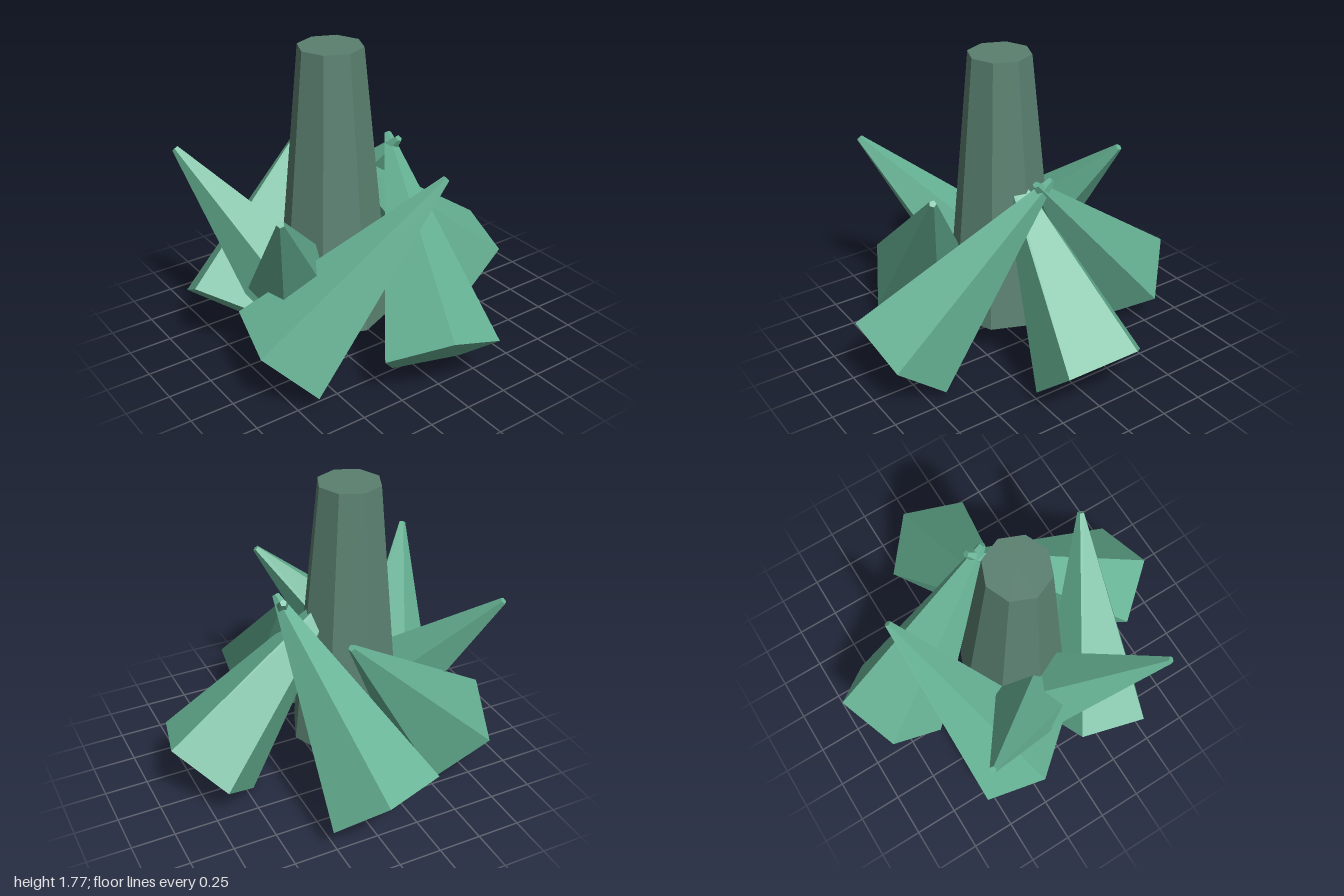
import * as THREE from 'three';

// Low-poly trunk surrounded by a ring of seven tilted five-sided cones.
export function createModel() {
  const model = new THREE.Group();
  model.name = 'tree';

  const barkMaterial = new THREE.MeshStandardMaterial({ color: 0x5a8070, flatShading: true });
  const leafMaterial = new THREE.MeshStandardMaterial({ color: 0x66b294, flatShading: true });
  const centreX = -0.19, centreZ = 0.015;

  // Tapered octagonal trunk
  const trunk = new THREE.Mesh(new THREE.CylinderGeometry(0.178, 0.33, 1.57, 8), barkMaterial);
  trunk.name = 'trunk';
  trunk.position.set(centreX, 0.993, centreZ);
  model.add(trunk);

  // Cones: evenly spaced in a ring, each turned to its own heading and tilted
  const count = 7, ringRadius = 0.457;
  const headings = [0, 107.8, 203, 305.6, -305.6, -203, -107.8];
  const coneGeometry = new THREE.CylinderGeometry(0.02, 0.335, 1.275, 5);

  const foliage = new THREE.Group();
  foliage.name = 'foliage';
  headings.forEach((heading, i) => {
    const angle = (i / count) * Math.PI * 2;
    const cone = new THREE.Mesh(coneGeometry, leafMaterial);
    cone.name = `foliageCone${i + 1}`;
    cone.position.set(
      centreX + Math.cos(angle) * ringRadius,
      0.702,
      centreZ + Math.sin(angle) * ringRadius
    );
    cone.rotateY(-THREE.MathUtils.degToRad(heading));
    cone.rotateZ(0.741);
    cone.rotateY(Math.PI / 5 + angle);
    foliage.add(cone);
  });
  model.add(foliage);

  return model;
}
